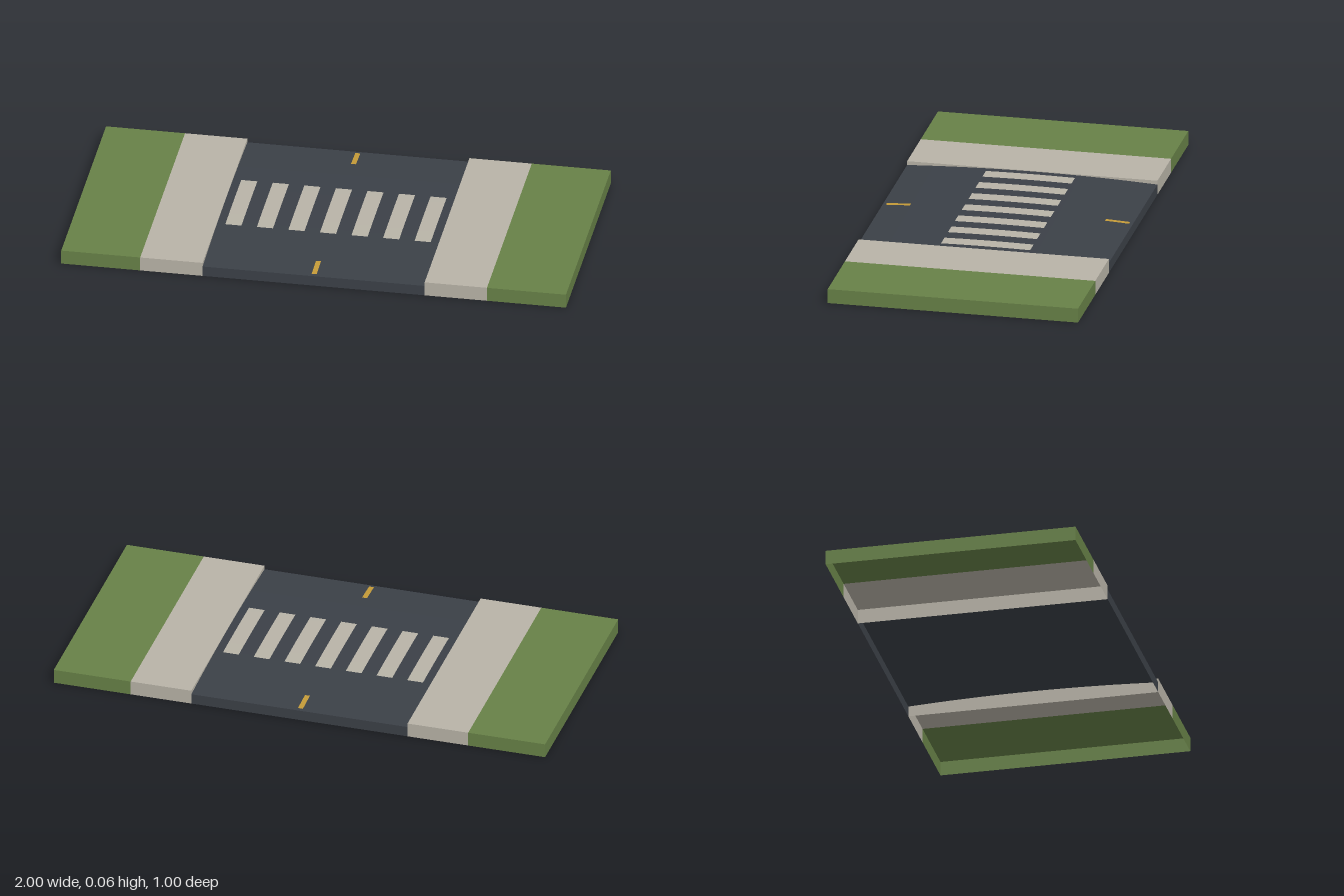
import * as THREE from 'three';

const HALF_Z = 0.5, TOP = 0.058, ROAD_X = 0.44, WALK_X = 0.687;

const mat = (name, color) => {
  const m = new THREE.MeshStandardMaterial({ color, side: THREE.DoubleSide });
  m.name = name;
  return m;
};

// Road surface rises gently from its ends to the crossing
const roadY = z => 0.056 - 0.014 * (z / HALF_Z) ** 2;

// Ribbon of quads between two rails of points
function ribbon(a, b) {
  const pos = [], idx = [];
  a.forEach((p, i) => {
    pos.push(...p, ...b[i]);
    if (i) {
      const k = 2 * i;
      idx.push(k - 2, k - 1, k + 1, k - 2, k + 1, k);
    }
  });
  const g = new THREE.BufferGeometry();
  g.setAttribute('position', new THREE.Float32BufferAttribute(pos, 3));
  g.setIndex(idx);
  g.computeVertexNormals();
  return g;
}

// Upward sheet following a height rule along z
function sheet(x0, x1, z0, z1, height, steps = 1) {
  const a = [], b = [];
  for (let i = 0; i <= steps; i++) {
    const z = z1 + (z0 - z1) * i / steps, y = height(z);
    a.push([x0, y, z]);
    b.push([x1, y, z]);
  }
  return ribbon(a, b);
}

// Upright wall from the ground, facing right of its direction of travel
const wall = (x0, z0, x1, z1, y) =>
  ribbon([[x0, y, z0], [x1, y, z1]], [[x0, 0, z0], [x1, 0, z1]]);

export function createModel() {
  const model = new THREE.Group();
  const grass = mat('grass green', 0x678147);
  const concrete = mat('pale concrete', 0xb8b3a7);
  const asphalt = mat('dark asphalt', 0x3b4047);
  const yellow = mat('line yellow', 0xc49a38);

  const add = (parent, name, geometry, material) => {
    const mesh = new THREE.Mesh(geometry, material);
    mesh.name = name;
    parent.add(mesh);
  };

  // A top sheet with its front and back walls, open underneath
  const slab = (name, x0, x1, height, material, steps) => {
    const g = new THREE.Group();
    g.name = name;
    add(g, name + 'Top', sheet(x0, x1, -HALF_Z, HALF_Z, height, steps), material);
    add(g, name + 'Front', wall(x0, HALF_Z, x1, HALF_Z, height(HALF_Z)), material);
    add(g, name + 'Back', wall(x1, -HALF_Z, x0, -HALF_Z, height(HALF_Z)), material);
    model.add(g);
    return g;
  };

  slab('road', -ROAD_X, ROAD_X, roadY, asphalt, 24);

  // Sidewalk with curb, and grass verge, on both sides
  const flat = () => TOP;
  for (const [side, s] of [['left', 1], ['right', -1]]) {
    const span = (a, b) => (s > 0 ? [a, b] : [-b, -a]);
    const walk = slab(side + 'Sidewalk', ...span(ROAD_X, WALK_X), flat, concrete);
    add(walk, side + 'Curb', wall(s * ROAD_X, -s * HALF_Z, s * ROAD_X, s * HALF_Z, TOP), concrete);
    const verge = slab(side + 'Verge', ...span(WALK_X, 1), flat, grass);
    add(verge, side + 'VergeSide', wall(s, s * HALF_Z, s, -s * HALF_Z, TOP), grass);
  }

  // Painted markings lie just above the asphalt
  const paintY = z => roadY(z) + 0.0015;
  for (let i = -3; i <= 3; i++) {
    const x = i * 0.125;
    add(model, 'crossingStripe', sheet(x - 0.032, x + 0.032, -0.178, 0.178, paintY, 10), concrete);
  }
  for (const s of [1, -1]) {
    const z = s * 0.438;
    add(model, 'centreDash', sheet(-0.01, 0.01, z - 0.048, z + 0.048, paintY, 4), yellow);
  }
  return model;
}
